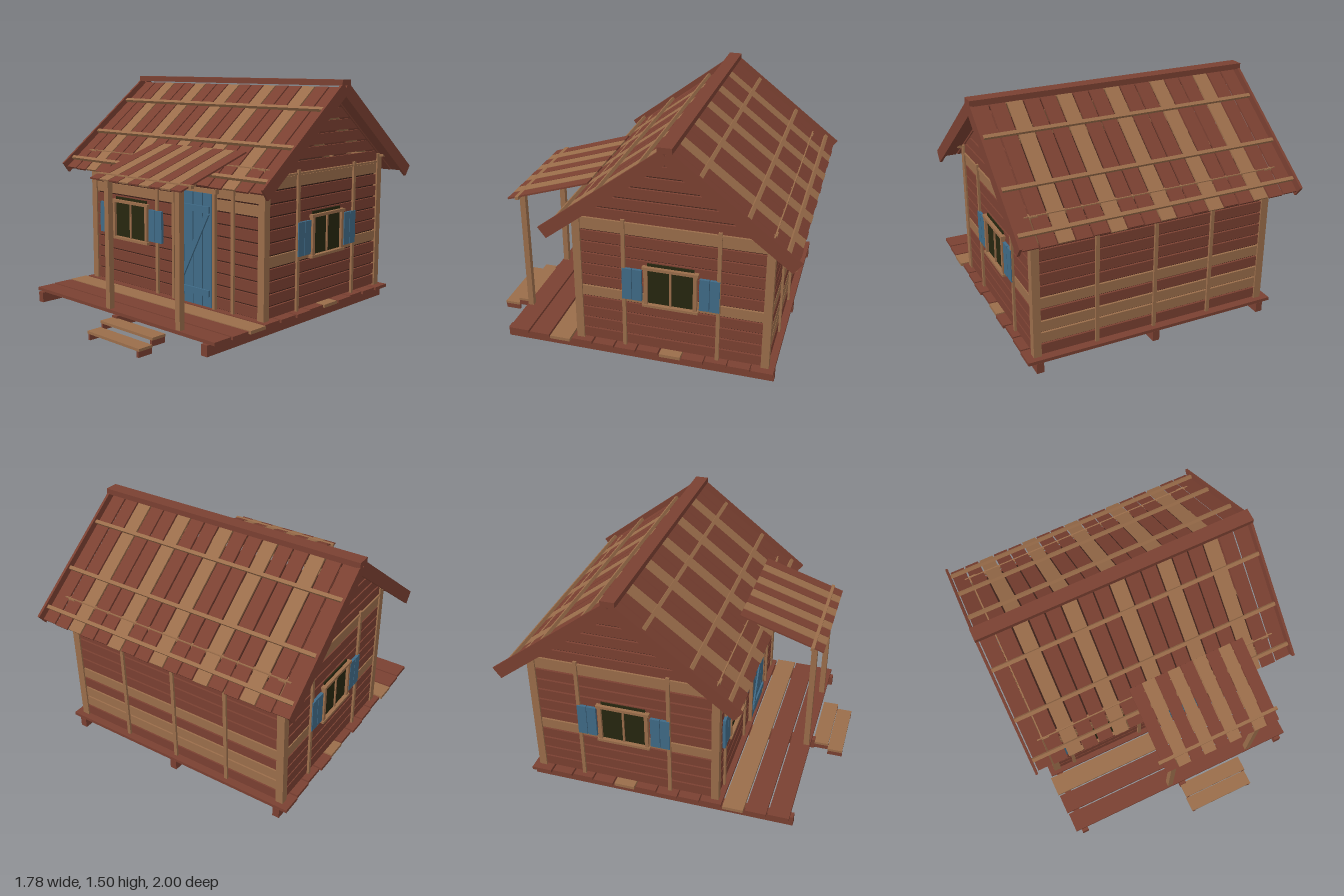
import * as THREE from 'three';

const mat = (name, color) => Object.assign(new THREE.MeshStandardMaterial({ color }), { name });
const red = mat('redWood', 0x7a4031);
const tan = mat('tanWood', 0x9a6d4a);
const blue = mat('bluePaint', 0x3f6a86);
const glass = mat('darkGlass', 0x26260f);
const dark = mat('darkInterior', 0x3a1f17);

const MID = -0.25;     // z of the ridge and centre of the house
const HALF_W = 0.77;   // house half width in x
const HALF_D = 0.595;  // house half depth in z
const PITCH = 0.075;   // siding row spacing
const SLOPE = 0.765;   // roof rise over run

export function createModel() {
  const root = new THREE.Group();
  root.name = 'cabin';

  const group = (parent, name, x = 0, y = 0, z = 0, ry = 0) => {
    const g = new THREE.Group();
    g.name = name;
    g.position.set(x, y, z);
    g.rotation.y = ry;
    parent.add(g);
    return g;
  };
  // box given by its minimum and maximum corners
  const box = (parent, name, m, x0, x1, y0, y1, z0, z1) => {
    const mesh = new THREE.Mesh(new THREE.BoxGeometry(x1 - x0, y1 - y0, z1 - z0), m);
    mesh.position.set((x0 + x1) / 2, (y0 + y1) / 2, (z0 + z1) / 2);
    mesh.name = name;
    parent.add(mesh);
    return mesh;
  };

  // Foundation beams and floor planks
  for (const x of [-0.747, 0, 0.747]) box(root, 'foundationBeam', red, x - 0.022, x + 0.022, 0.04, 0.105, -0.88, 0.81);
  for (let i = 0; i < 12; i++) {
    const z = 0.79 - i * 0.14, w = 0.812 + 0.006 * ((i * 7) % 3 - 1);
    box(root, 'floorPlank', i % 5 === 2 ? tan : red, -w, w, 0.105, 0.125, z - 0.129, z);
  }

  // Dark core seen through the gaps between boards
  box(root, 'innerWall', dark, -0.745, 0.745, 0.125, 0.95, MID - 0.57, MID + 0.57);

  // Corner posts and wall plates
  for (const x of [-1, 1]) for (const z of [-1, 1]) {
    const px = x * 0.748, pz = MID + z * 0.572;
    box(root, 'cornerPost', tan, px - 0.024, px + 0.024, 0.125, 1.01, pz - 0.024, pz + 0.024);
  }
  for (const s of [-1, 1]) {
    const z = MID + s * 0.58;
    box(root, 'wallPlate', tan, -0.8, 0.8, 0.99, 1.012, z - 0.01, z + 0.01);
  }

  // Each wall is built facing +z in its own frame, then turned into place
  const siding = (g, half, out, tanRows) => {
    for (let i = 0; i < 11; i++) {
      const y = 0.133 + i * PITCH;
      box(g, 'sidingBoard', tanRows.includes(i) ? tan : red, -half, half, y, y + 0.064, out - 0.022, out - 0.008);
    }
  };
  const stud = (g, x, out, top = 0.98) => box(g, 'wallBatten', tan, x - 0.011, x + 0.011, 0.125, top, out - 0.01, out + 0.006);
  const windowUnit = (g, cx, out, w) => {
    const u = group(g, 'window', cx, 0, out);
    box(u, 'windowPane', glass, -w + 0.02, w - 0.02, 0.45, 0.715, -0.009, -0.001);
    for (const s of [-1, 1]) {
      const x = s * (w - 0.012);
      box(u, 'windowJamb', tan, x - 0.011, x + 0.011, 0.445, 0.685, -0.01, 0.016);
      // two-board shutter
      for (const k of [0, 1]) {
        const c = s * (w + 0.042 + k * 0.062);
        box(u, 'shutterBoard', blue, c - 0.029, c + 0.029, 0.46, 0.667, -0.006, 0.012);
      }
    }
    box(u, 'windowHead', tan, -w - 0.008, w + 0.008, 0.68, 0.698, -0.01, 0.02);
    box(u, 'windowSill', tan, -w - 0.008, w + 0.008, 0.432, 0.448, -0.01, 0.022);
    box(u, 'mullion', tan, -0.006, 0.006, 0.448, 0.68, -0.004, 0.008);
  };

  // Front wall with window and door
  const front = group(root, 'frontWall', 0, 0, MID);
  siding(front, 0.75, HALF_D, [8, 9]);
  for (const x of [-0.62, -0.12, 0.53]) stud(front, x, HALF_D);
  windowUnit(front, -0.372, HALF_D, 0.17);

  const door = group(front, 'door', 0.213, 0, HALF_D);
  box(door, 'doorBacking', dark, -0.16, 0.16, 0.13, 0.83, -0.01, -0.002);
  for (let i = 0; i < 4; i++) {
    const x = -0.12 + i * 0.08;
    box(door, 'doorBoard', blue, x - 0.037, x + 0.037, 0.13, 0.828, -0.006, 0.01);
  }
  box(door, 'doorRail', blue, -0.143, 0.143, 0.71, 0.75, 0.008, 0.022);
  box(door, 'doorRail', blue, -0.143, 0.143, 0.197, 0.237, 0.008, 0.022);
  const brace = box(door, 'doorBrace', blue, -0.018, 0.018, -0.265, 0.265, 0.009, 0.021);
  brace.position.y = 0.474;
  brace.rotation.z = -Math.atan2(0.25, 0.475);
  for (const s of [-1, 1]) box(door, 'doorJamb', tan, s * 0.174 - 0.01, s * 0.174 + 0.01, 0.125, 0.835, -0.01, 0.014);
  box(door, 'doorLintel', tan, -0.2, 0.2, 0.832, 0.86, -0.01, 0.022);
  box(door, 'doorCap', dark, -0.18, 0.18, 0.86, 0.873, -0.01, 0.01);

  // Back wall
  const back = group(root, 'backWall', 0, 0, MID, Math.PI);
  siding(back, 0.75, HALF_D, [1, 2, 4]);
  for (const x of [-0.375, 0, 0.375]) stud(back, x, HALF_D);

  // Side walls with windows and gables
  for (const s of [-1, 1]) {
    const side = group(root, s > 0 ? 'leftWall' : 'rightWall', 0, 0, MID, s * Math.PI / 2);
    siding(side, 0.575, HALF_W, [4, 10]);
    for (const x of [-0.285, 0.285]) stud(side, x, HALF_W);
    windowUnit(side, 0, HALF_W, 0.16);
    box(side, 'gableRail', tan, -0.575, 0.575, 0.95, 0.962, HALF_W - 0.022, HALF_W);
    // gable boards narrow with the roof
    for (let i = 11; i < 17; i++) {
      const y0 = 0.14 + i * PITCH, y1 = y0 + 0.063;
      const a = Math.min(0.595, (1.435 - y0) / SLOPE), b = Math.max(0.004, (1.435 - y1) / SLOPE);
      const shape = new THREE.Shape([[-a, y0], [a, y0], [b, y1], [-b, y1]].map(p => new THREE.Vector2(...p)));
      const board = new THREE.Mesh(new THREE.ExtrudeGeometry(shape, { depth: 0.014, bevelEnabled: false }), red);
      board.position.z = HALF_W - 0.022;
      board.name = 'gableBoard';
      side.add(board);
    }
  }

  // Roof: two mirrored slopes of planks, battens and barge boards
  const LEN = 0.915;
  for (const turn of [0, Math.PI]) {
    const half = group(root, turn ? 'backRoof' : 'frontRoof', 0, 1.45, MID, turn);
    const slope = group(half, 'roofSlope');
    slope.rotation.x = Math.atan(SLOPE);
    for (let i = 0; i < 17; i++) {
      const x = -0.82 + i * 0.1025;
      box(slope, 'roofPlank', i % 3 === 2 ? tan : red, x - 0.046, x + 0.046, -0.006, 0.006, 0, LEN + 0.004 * (i % 2));
    }
    for (const z of [0.218, 0.555, 0.834]) box(slope, 'roofBatten', tan, -0.875, 0.875, 0.006, 0.026, z - 0.011, z + 0.011);
    for (const s of [-1, 1]) box(slope, 'bargeBoard', red, s * 0.882 - 0.008, s * 0.882 + 0.008, -0.04, 0.04, 0, LEN + 0.005);
  }
  box(root, 'ridgeCap', red, -0.892, 0.892, 1.464, 1.499, MID - 0.042, MID + 0.042);

  // Porch: posts, beam and sloping awning
  for (const x of [-0.089, 0.515]) box(root, 'porchPost', tan, x - 0.018, x + 0.018, 0.125, 0.935, 0.747, 0.783);
  box(root, 'porchBeam', tan, -0.195, 0.615, 0.93, 0.95, 0.752, 0.774);
  const awning = group(root, 'awning', 0.21, 1.005, 0.5675);
  awning.rotation.x = Math.atan2(0.17, 0.525);
  for (let i = 0; i < 9; i++) {
    const x = (i - 4) * 0.0865;
    box(awning, 'awningPlank', i % 2 ? tan : red, x - 0.04, x + 0.04, -0.005, 0.005, -0.276, 0.276);
  }

  // Front steps
  const steps = group(root, 'steps');
  [[0.9, 0.998, 0.036], [0.8, 0.9, 0.076]].forEach(([z0, z1, y]) => {
    box(steps, 'tread', tan, -0.02, 0.435, y, y + 0.016, z0, z1);
    for (const x of [-0.003, 0.422]) box(steps, 'stepSupport', red, x - 0.008, x + 0.008, y - 0.036, y, z0, z1);
  });

  return root;
}
